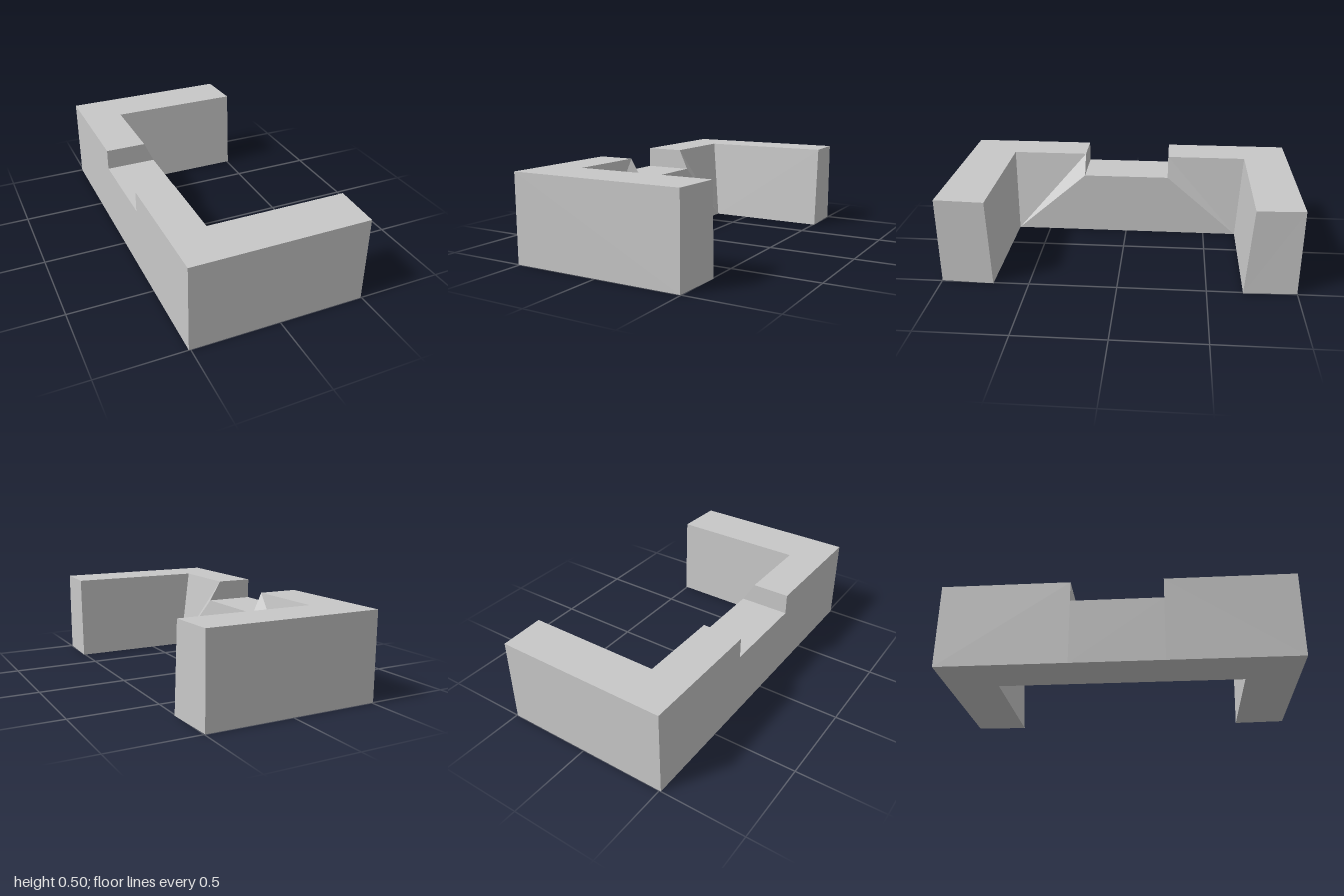
import * as THREE from 'three';

const HEIGHT = 0.5, FLOOR = 0.38, GAP = 0.262, BACK = -0.51, INNER = -0.22;

// One L-shaped half: a wall section plus an arm, with inner faces leaning outward.
// side mirrors it in z; topX and topZ place the inner corner of the upper rim.
function lShapedHalf(side, topX, topZ) {
  const loop = (y, x, z, innerZ) => [
    [BACK, y, GAP], [x, y, GAP], [x, y, z], [0.508, y, innerZ], [0.495, y, 1], [BACK, y, 1],
  ];
  const bottom = loop(0, INNER, 0.702, 0.702);
  const top = loop(HEIGHT, topX, topZ, topZ);
  const positions = [];
  const face = (...corners) => {
    for (let i = 1; i < corners.length - 1; i++) {
      const tri = [corners[0], corners[i], corners[i + 1]];
      if (side < 0) tri.reverse();
      tri.forEach(([x, y, z]) => positions.push(x, y, z * side));
    }
  };

  // Underside and upper rim
  for (const [a, b, c] of [[0, 1, 2], [0, 2, 5], [2, 3, 4], [2, 4, 5]]) {
    face(bottom[a], bottom[b], bottom[c]);
    face(top[c], top[b], top[a]);
  }
  // Arm sides, arm end and outer walls
  for (let i = 2; i < 6; i++) {
    const j = (i + 1) % 6;
    face(bottom[i], top[i], top[j], bottom[j]);
  }
  // Inner wall, creased from the lower corner to the notch
  const notch = [INNER, FLOOR, GAP];
  face(bottom[2], bottom[1], notch, top[1], top[2]);
  // Notch wall
  face([BACK, FLOOR, GAP], top[0], top[1], notch);

  const geometry = new THREE.BufferGeometry();
  geometry.setAttribute('position', new THREE.Float32BufferAttribute(positions, 3));
  geometry.computeVertexNormals();
  return geometry;
}

export function createModel() {
  const model = new THREE.Group();
  model.name = 'notchedBracket';
  const grey = new THREE.MeshStandardMaterial({ color: 0xc8c8c8 });
  grey.name = 'plain grey';

  const add = (name, geometry) => {
    const mesh = new THREE.Mesh(geometry, grey);
    mesh.name = name;
    model.add(mesh);
    return mesh;
  };

  add('frontArm', lShapedHalf(1, -0.292, 0.717));
  add('backArm', lShapedHalf(-1, -0.275, 0.736));

  // Lower bridge between the halves
  add('notchBridge', new THREE.BoxGeometry(INNER - BACK, FLOOR, GAP * 2))
    .position.set((INNER + BACK) / 2, FLOOR / 2, 0);

  return model;
}
